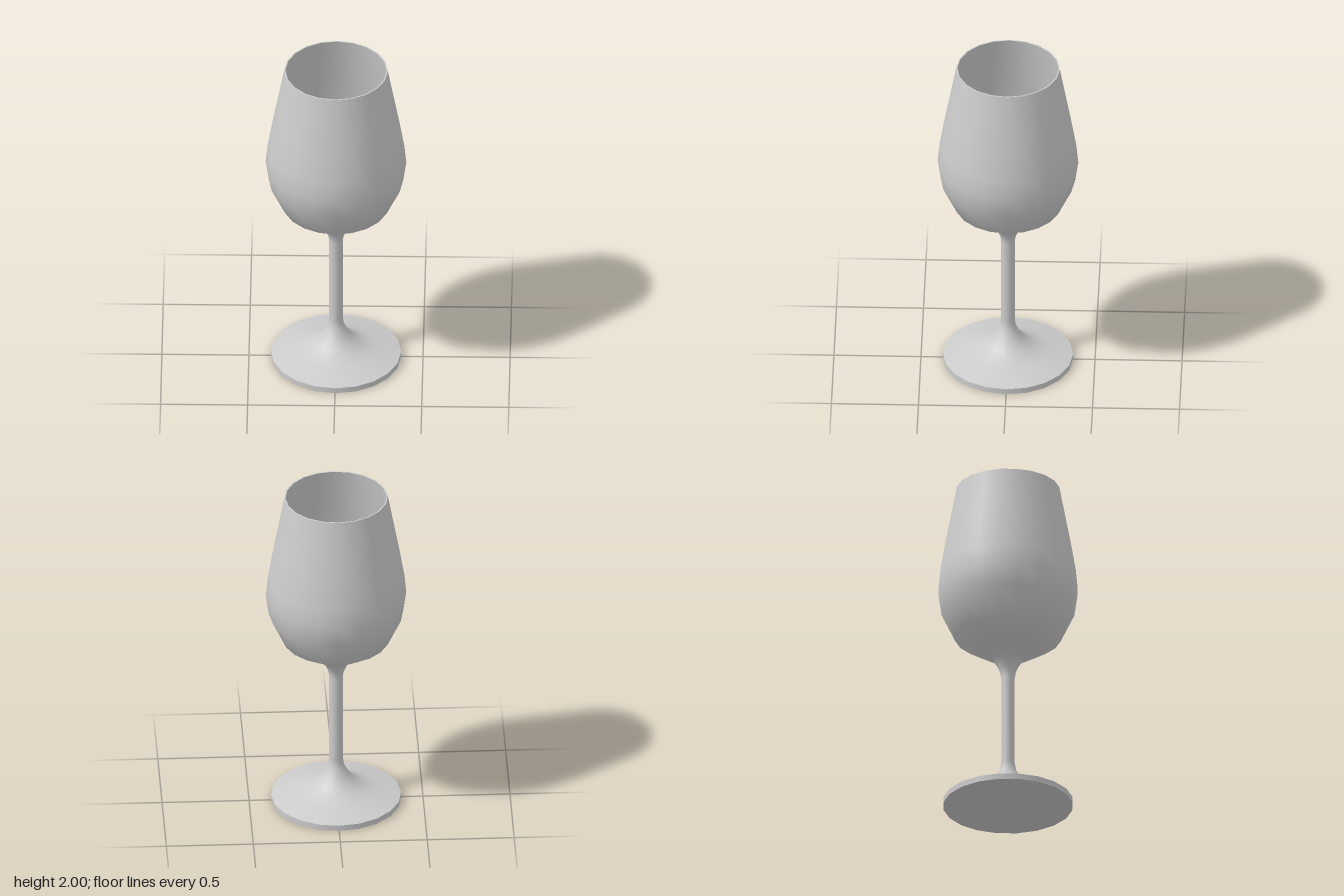
import * as THREE from 'three';

const SIDES = 20;
const material = new THREE.MeshStandardMaterial({ color: 0xcccccc });

// Revolve a [radius, height] profile; upward profiles face outward, downward ones inward
function lathe(name, profile) {
  const points = profile.map(([r, y]) => new THREE.Vector2(r, y));
  const mesh = new THREE.Mesh(new THREE.LatheGeometry(points, SIDES), material);
  mesh.name = name;
  return mesh;
}

export function createModel() {
  const glass = new THREE.Group();
  glass.name = 'wineGlass';

  // Foot: separate surfaces keep the disc edges sharp
  const foot = new THREE.Group();
  foot.name = 'foot';
  foot.add(
    lathe('footUnderside', [[0, 0], [0.374, 0]]),
    lathe('footEdge', [[0.374, 0], [0.374, 0.034]])
  );

  // Flared foot top, stem and outer bowl run as one smooth surface
  const outside = lathe('stemAndOuterBowl', [
    [0.374, 0.034], [0.23, 0.07], [0.165, 0.095], [0.116, 0.127], [0.075, 0.17],
    [0.047, 0.225], [0.039, 0.27], [0.039, 0.81],
    [0.046, 0.85], [0.063, 0.89], [0.092, 0.93], [0.174, 0.98],
    [0.306, 1.065], [0.386, 1.235], [0.404, 1.36], [0.393, 1.475],
    [0.365, 1.64], [0.298, 2]
  ]);

  // Thin flat rim
  const rim = lathe('rim', [[0.298, 2], [0.29, 2]]);

  // Inner bowl follows the outer wall down to a rounded bottom
  const inside = lathe('innerBowl', [
    [0.29, 2], [0.357, 1.64], [0.385, 1.475], [0.396, 1.36], [0.378, 1.237],
    [0.3, 1.072], [0.17, 0.99], [0.085, 0.945], [0, 0.93]
  ]);

  glass.add(foot, outside, rim, inside);
  return glass;
}
